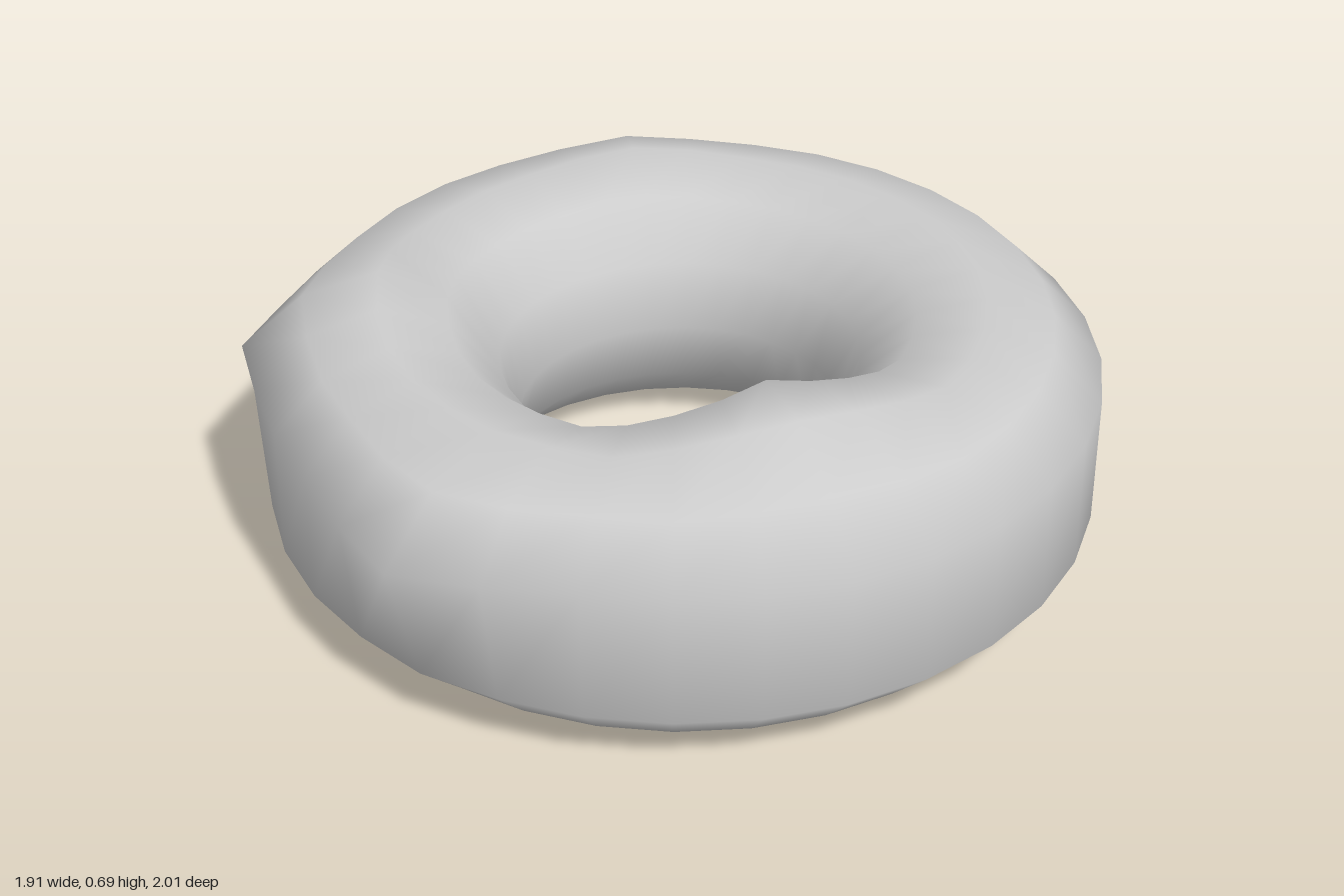
import * as THREE from 'three';

const SEGMENTS = 32;
const MAJOR = 0.685, MINOR = 0.31, CENTRE_Z = -0.05;

// Soft pulls on the ring: centre, offset, reach
const PULLS = [
  { at: [0, 0.46, 0.9], by: [0, 0, 0.1], reach: 0.33 },               // front point
  { at: [0.44, 0.575, 0.245], by: [-0.02, 0.115, 0], reach: 0.38 },   // large swelling on top
  { at: [-0.57, 0.62, 0.33], by: [0, 0.05, 0], reach: 0.33 },         // small ridge on top
  { at: [-0.78, 0.46, 0.48], by: [-0.05, 0, 0.03], reach: 0.25 },     // side corner
  { at: [-0.67, 0.46, -0.72], by: [-0.02, 0, -0.06], reach: 0.25 },   // back corner
  { at: [-0.48, 0.62, -0.53], by: [0, 0.025, 0], reach: 0.28 },       // back ridge on top
  { at: [0.375, 0.31, -0.05], by: [-0.025, 0, 0], reach: 0.45 },      // narrowed hole
].map(({ at, by, reach }) => ({
  at: new THREE.Vector3(...at), by: new THREE.Vector3(...by), reach,
}));

function pull(point) {
  const moved = point.clone();
  for (const { at, by, reach } of PULLS) {
    const weight = Math.max(0, 1 - point.distanceTo(at) / reach);
    moved.addScaledVector(by, weight);
  }
  return moved;
}

function ringGeometry() {
  // Eleven-point section: a twelve-sided circle with a flat outer wall
  const angles = [];
  for (let k = 1; k <= 11; k++) angles.push(k * Math.PI / 6);
  const sides = angles.length;

  const positions = [], indices = [];
  for (let i = 0; i < SEGMENTS; i++) {
    const t = i / SEGMENTS * Math.PI * 2;
    for (const a of angles) {
      const radius = MAJOR + MINOR * Math.cos(a);
      const p = pull(new THREE.Vector3(
        radius * Math.sin(t),
        MINOR + MINOR * Math.sin(a),
        CENTRE_Z + radius * Math.cos(t)
      ));
      positions.push(p.x, p.y, p.z);
    }
  }
  for (let i = 0; i < SEGMENTS; i++) {
    const next = (i + 1) % SEGMENTS;
    for (let j = 0; j < sides; j++) {
      const up = (j + 1) % sides;
      const a = i * sides + j, b = next * sides + j;
      const c = next * sides + up, d = i * sides + up;
      indices.push(a, b, c, a, c, d);
    }
  }
  const geometry = new THREE.BufferGeometry();
  geometry.setAttribute('position', new THREE.Float32BufferAttribute(positions, 3));
  geometry.setIndex(indices);
  geometry.computeVertexNormals();
  return geometry;
}

export function createModel() {
  const group = new THREE.Group();
  const ring = new THREE.Mesh(ringGeometry(), new THREE.MeshStandardMaterial({ color: 0xcccccc }));
  ring.name = 'ring';
  group.add(ring);
  return group;
}
